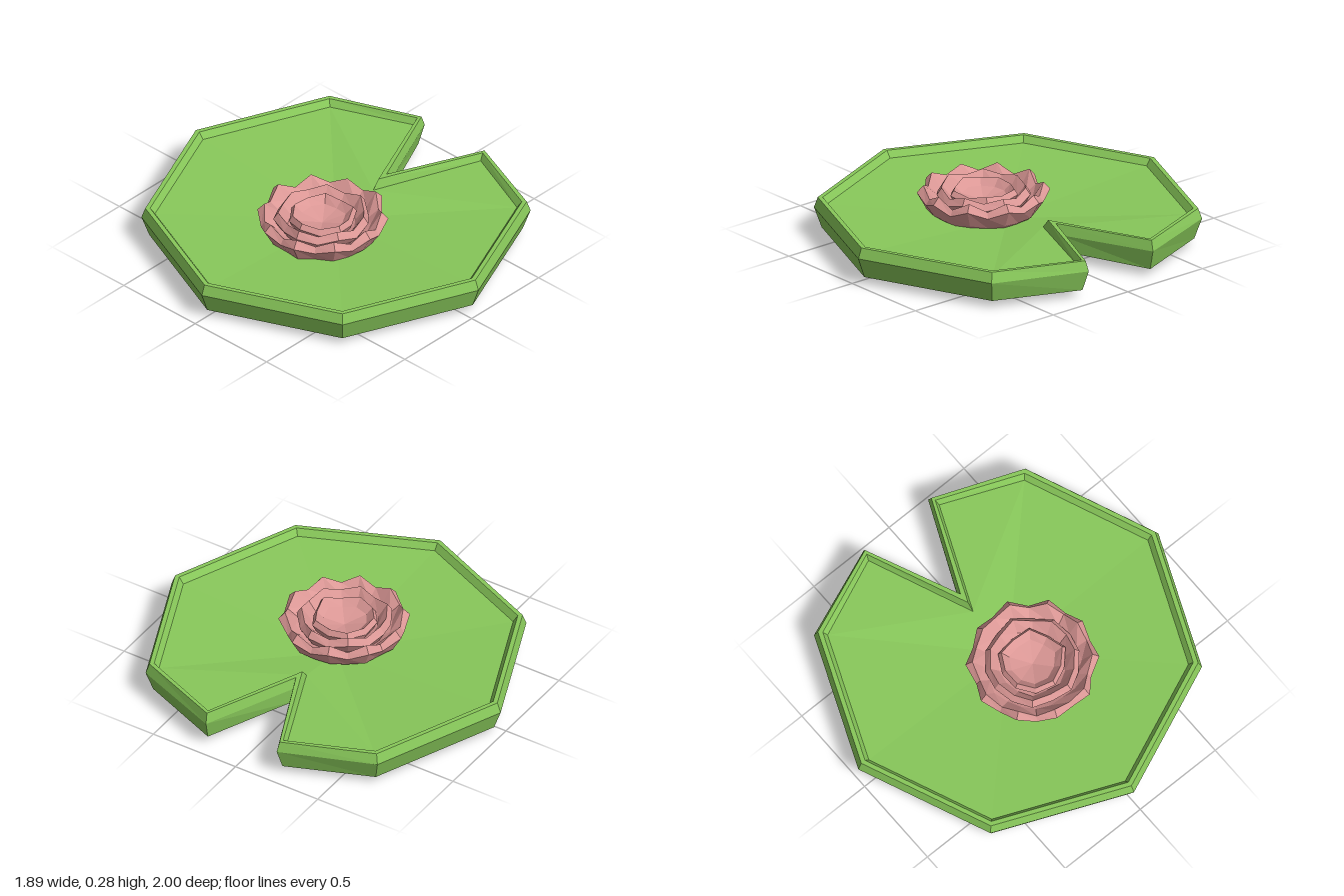
import * as THREE from 'three';

// Flat-shaded geometry from a list of triangles (three points each)
function fromTriangles(tris) {
  const geo = new THREE.BufferGeometry().setFromPoints(tris.flat());
  geo.computeVertexNormals();
  return geo;
}

// Skin between successive closed loops of equal length
function loft(loops) {
  const tris = [];
  for (let k = 0; k + 1 < loops.length; k++) {
    const a = loops[k], b = loops[k + 1], n = a.length;
    for (let i = 0; i < n; i++) {
      const j = (i + 1) % n;
      tris.push([a[i], b[i], b[j]], [a[i], b[j], a[j]]);
    }
  }
  return tris;
}

// Pad outline: octagon with a wedge notch cut in towards +x
function padLoop(inset, y, notchX, notchY) {
  const corners = [[0.755, 0.705], [0.05, 1], [-0.65, 0.705], [-0.95, 0],
    [-0.65, -0.705], [0.05, -1], [0.755, -0.705]];
  const s = 1 - inset, tipX = 0.945 - inset * 0.9, tipZ = 0.215 + inset * 0.3;
  return [
    new THREE.Vector3(notchX, notchY, 0),
    new THREE.Vector3(tipX, y, tipZ),
    ...corners.map(([x, z]) => new THREE.Vector3(0.05 + (x - 0.05) * s, y, z * s)),
    new THREE.Vector3(tipX, y, -tipZ),
  ];
}

// Fan cap for the pad, with one triangle for each notch tip
function padCap(loop, centreY, up) {
  const c = new THREE.Vector3(0.05, centreY, 0);
  const tris = [[loop[0], loop[1], loop[2]], [loop[0], loop[8], loop[9]]];
  const ring = [0, 2, 3, 4, 5, 6, 7, 8];
  ring.forEach((v, i) => tris.push([c, loop[v], loop[ring[(i + 1) % ring.length]]]));
  return up ? tris.map(([a, b, d]) => [a, d, b]) : tris;
}

// Petal loop: alternates between a tip and a gap, with slight unevenness
function petalLoop(count, turn, [rTip, yTip, rGap, yGap], wobble = 0.008) {
  return Array.from({ length: count * 2 }, (_, i) => {
    const tip = i % 2 === 0;
    const a = turn + i * Math.PI / count;
    const r = (tip ? rTip : rGap) + wobble * Math.sin(i * 2.3 + turn * 5);
    const y = (tip ? yTip : yGap) + wobble * 0.5 * Math.sin(i * 3.7 + turn);
    return new THREE.Vector3(Math.cos(a) * r, y, Math.sin(a) * r);
  });
}

export function createModel() {
  const model = new THREE.Group();
  const leafGreen = new THREE.MeshStandardMaterial({ color: 0x88c85a, flatShading: true });
  const petalPink = new THREE.MeshStandardMaterial({ color: 0xdc9896, flatShading: true });
  leafGreen.name = 'leafGreen';
  petalPink.name = 'petalPink';

  const add = (parent, name, tris, material) => {
    const mesh = new THREE.Mesh(fromTriangles(tris), material);
    mesh.name = name;
    parent.add(mesh);
  };

  // Lily pad: underside, outer wall, raised rim, dished floor
  const loops = [
    padLoop(0.04, 0.04, 0.44, 0.06),
    padLoop(0, 0.15, 0.46, 0.15),
    padLoop(0.02, 0.205, 0.43, 0.205),
    padLoop(0.045, 0.205, 0.37, 0.205),
    padLoop(0.07, 0.17, 0.33, 0.155),
  ];
  add(model, 'padRim', loft(loops), leafGreen);
  add(model, 'padUnderside', padCap(loops[0], 0, false), leafGreen);
  add(model, 'padFloor', padCap(loops[4], 0.12, true), leafGreen);

  // Flower: three nested cups of petals
  const flower = new THREE.Group();
  flower.name = 'flower';
  flower.position.set(-0.093, 0, 0.042);
  model.add(flower);

  // Each profile row: tip radius, tip height, gap radius, gap height
  const cups = [
    { name: 'outerPetals', count: 10, turn: Math.PI / 10, profile: [
      [0.2, 0.085, 0.2, 0.085], [0.29, 0.15, 0.27, 0.14], [0.34, 0.24, 0.315, 0.205],
      [0.305, 0.277, 0.295, 0.235], [0.25, 0.2, 0.24, 0.19], [0.2, 0.17, 0.2, 0.17]] },
    { name: 'middlePetals', count: 7, turn: 0.25, profile: [
      [0.19, 0.13, 0.19, 0.13], [0.25, 0.235, 0.24, 0.215],
      [0.225, 0.272, 0.215, 0.25], [0.175, 0.2, 0.17, 0.195], [0.13, 0.18, 0.13, 0.18]] },
    { name: 'innerPetals', count: 5, turn: 0.6, profile: [
      [0.14, 0.16, 0.14, 0.16], [0.178, 0.235, 0.168, 0.22],
      [0.16, 0.262, 0.15, 0.25], [0.12, 0.222, 0.115, 0.218], [0, 0.19, 0, 0.19]] },
  ];
  for (const { name, count, turn, profile } of cups) {
    const rings = profile.map((row) => petalLoop(count, turn, row, row[0] === 0 ? 0 : 0.006));
    add(flower, name, loft(rings), petalPink);
  }

  return model;
}
